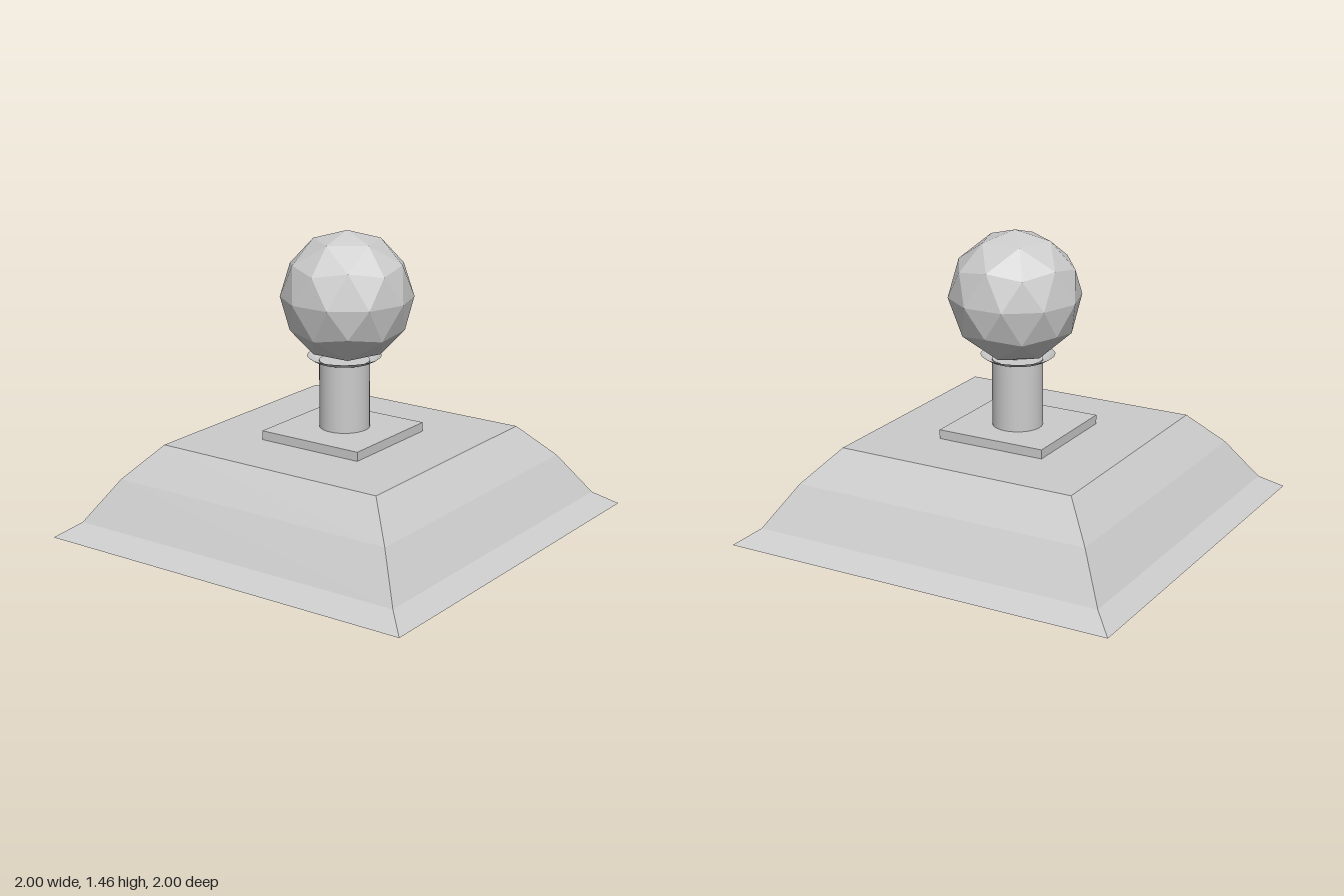
import * as THREE from 'three';

const points = (list) => list.map(([r, y]) => new THREE.Vector2(r, y));

export function createModel() {
  const group = new THREE.Group();
  const flat = new THREE.MeshStandardMaterial({ color: 0xcccccc, flatShading: true });
  const smooth = new THREE.MeshStandardMaterial({ color: 0xcccccc });
  const thin = new THREE.MeshStandardMaterial({ color: 0xcccccc, side: THREE.DoubleSide });

  const add = (name, geometry, material, x = 0, y = 0, z = 0) => {
    const mesh = new THREE.Mesh(geometry, material);
    mesh.name = name;
    mesh.position.set(x, y, z);
    group.add(mesh);
  };

  // Square stepped-slope base: four-sided lathe, half-widths scaled to corner radii
  const slope = [[0, 0], [1, 0], [0.9, 0.07], [0.765, 0.278], [0.615, 0.44], [0, 0.44]];
  const corners = slope.map(([w, y]) => [w * Math.SQRT2, y]);
  add('base', new THREE.LatheGeometry(points(corners), 4, Math.PI / 4), flat);

  // Thin square plate under the stem
  add('plate', new THREE.BoxGeometry(0.56, 0.065, 0.56), flat, 0, 0.4525, 0);

  // Round stem
  add('stem', new THREE.CylinderGeometry(0.123, 0.123, 0.36, 32), smooth, -0.002, 0.64, -0.016);

  // Flared collar, open at the top
  const flare = [[0.12, 0.813], [0.145, 0.82], [0.163, 0.83], [0.18, 0.842]];
  add('collar', new THREE.LatheGeometry(points(flare), 32), thin, -0.004, 0, -0.016);

  // Faceted ball, turned so that one vertex points straight up
  const ball = new THREE.IcosahedronGeometry(0.322, 1);
  ball.rotateX(-Math.atan((1 + Math.sqrt(5)) / 2));
  add('ball', ball, flat, 0.004, 1.133, -0.028);

  return group;
}
